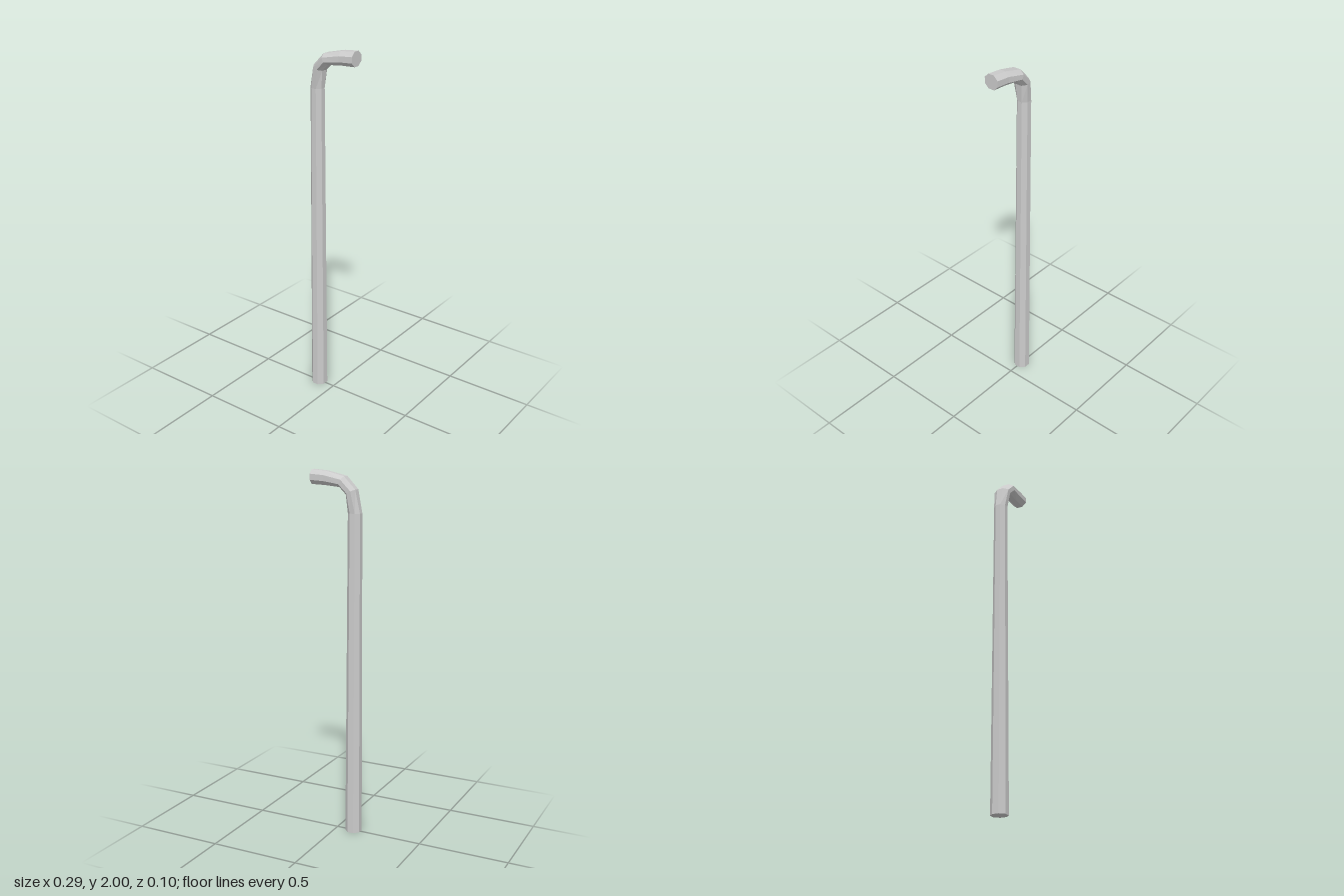
import * as THREE from 'three';

const SIDES = 8;

// Cross-sections along the stick: outer x, y, inner x, y, half width in z
const RINGS = [
  [-0.143, 0, -0.058, 0, 0.043],
  [-0.136, 1.78, -0.066, 1.78, 0.035],
  [-0.11, 1.902, -0.056, 1.876, 0.046],
  [-0.046, 1.968, -0.02, 1.912, 0.05],
  [0.06, 1.993, 0.066, 1.92, 0.042],
  [0.143, 2, 0.143, 1.923, 0.041],
];

// Octagon corner j of a ring, with its flats facing the axes
function corner([ox, oy, ix, iy, hz], j) {
  const a = ((j + 0.5) / SIDES) * Math.PI * 2;
  const k = 1 / Math.cos(Math.PI / SIDES);
  const c = Math.cos(a) * k, s = Math.sin(a) * k;
  return [(ox + ix) / 2 + (c * (ox - ix)) / 2, (oy + iy) / 2 + (c * (oy - iy)) / 2, s * hz];
}

function sweptStick(rings) {
  const pos = [], idx = [];
  rings.forEach((r) => {
    for (let j = 0; j < SIDES; j++) pos.push(...corner(r, j));
  });
  const last = (rings.length - 1) * SIDES;
  // Side walls
  for (let i = 0; i < last; i += SIDES) {
    for (let j = 0; j < SIDES; j++) {
      const n = (j + 1) % SIDES;
      const a = i + j, b = i + n, c = b + SIDES, d = a + SIDES;
      idx.push(a, b, c, a, c, d);
    }
  }
  // Foot and handle end caps
  for (let j = 1; j < SIDES - 1; j++) {
    idx.push(0, j + 1, j, last, last + j, last + j + 1);
  }
  const g = new THREE.BufferGeometry();
  g.setAttribute('position', new THREE.Float32BufferAttribute(pos, 3));
  g.setIndex(idx);
  const flat = g.toNonIndexed();
  flat.computeVertexNormals();
  return flat;
}

export function createModel() {
  const group = new THREE.Group();
  group.name = 'walkingCane';
  const material = new THREE.MeshStandardMaterial({ color: 0xcccccc, flatShading: true });
  const cane = new THREE.Mesh(sweptStick(RINGS), material);
  cane.name = 'shaftAndHandle';
  group.add(cane);
  return group;
}
